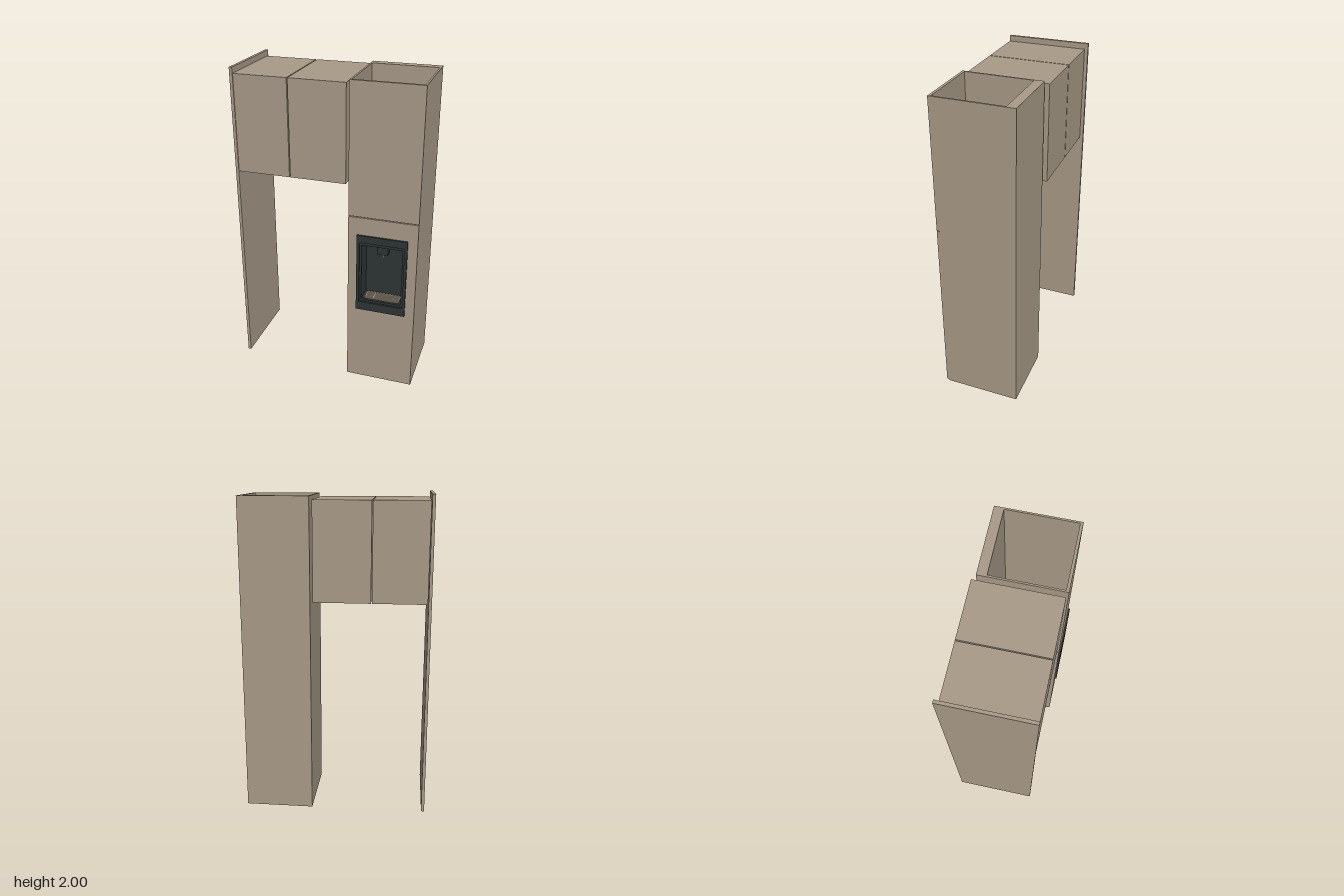
import * as THREE from 'three';

export function createModel() {
  const root = new THREE.Group();
  const mat = (name, color) => {
    const m = new THREE.MeshStandardMaterial({ color });
    m.name = name;
    return m;
  };
  const wood = mat('taupe panel', 0xa99b88);
  const dark = mat('dark casing', 0x2d3634);
  const metal = mat('beige metal', 0xb5a58c);

  // Box given by its limits on each axis
  const box = (parent, name, m, x0, x1, y0, y1, z0, z1) => {
    const mesh = new THREE.Mesh(new THREE.BoxGeometry(x1 - x0, y1 - y0, z1 - z0), m);
    mesh.position.set((x0 + x1) / 2, (y0 + y1) / 2, (z0 + z1) / 2);
    mesh.name = name;
    parent.add(mesh);
    return mesh;
  };
  // Upright plate with a rectangular hole; rects are [x0, x1, y0, y1]
  const frame = (parent, name, m, outer, hole, z0, z1) => {
    const trace = (p, [x0, x1, y0, y1]) =>
      p.moveTo(x0, y0).lineTo(x1, y0).lineTo(x1, y1).lineTo(x0, y1).closePath();
    const shape = trace(new THREE.Shape(), outer);
    shape.holes.push(trace(new THREE.Path(), hole));
    const mesh = new THREE.Mesh(
      new THREE.ExtrudeGeometry(shape, { depth: z1 - z0, bevelEnabled: false }), m);
    mesh.position.z = z0;
    mesh.name = name;
    parent.add(mesh);
  };
  const group = (name) => {
    const g = new THREE.Group();
    g.name = name;
    root.add(g);
    return g;
  };

  // End panel and the two wall cabinets
  box(root, 'endPanel', wood, -0.577, -0.558, 0.03, 2, -0.273, 0.25);
  const wall = group('wallCabinets');
  box(wall, 'wallCabinetRight', wood, -0.555, -0.225, 1.365, 1.965, -0.252, 0.25);
  box(wall, 'wallCabinetLeft', wood, -0.219, 0.128, 1.365, 1.965, -0.252, 0.25);

  // Tall cabinet: hollow carcass, open above and below
  const tall = group('tallCabinet');
  box(tall, 'sideRight', wood, 0.148, 0.159, 0, 1.985, -0.23, 0.243);
  box(tall, 'sideLeft', wood, 0.565, 0.576, 0, 1.985, -0.23, 0.243);
  box(tall, 'back', wood, 0.159, 0.565, 0, 1.985, -0.23, -0.173);
  box(tall, 'upperDoor', wood, 0.148, 0.576, 1.17, 1.985, 0.243, 0.26);
  frame(tall, 'lowerDoor', wood, [0.148, 0.576, 0.01, 1.165], [0.225, 0.497, 0.56, 1.03], 0.243, 0.26);

  // Dispenser: front frame, inner rim and recessed niche
  const unit = group('dispenser');
  frame(unit, 'frontFrame', dark, [0.205, 0.517, 0.533, 1.052], [0.222, 0.5, 0.59, 1.005], 0.26, 0.272);
  frame(unit, 'innerRim', dark, [0.222, 0.5, 0.585, 1.01], [0.235, 0.487, 0.605, 0.985], 0.245, 0.262);
  box(unit, 'nicheBack', dark, 0.225, 0.497, 0.56, 1.02, 0.13, 0.145);
  box(unit, 'nicheRight', dark, 0.225, 0.235, 0.56, 1.02, 0.145, 0.25);
  box(unit, 'nicheLeft', dark, 0.487, 0.497, 0.56, 1.02, 0.145, 0.25);
  box(unit, 'nicheTop', dark, 0.235, 0.487, 0.985, 1.02, 0.145, 0.25);
  box(unit, 'nicheFloor', dark, 0.235, 0.487, 0.56, 0.6, 0.145, 0.25);

  // Nozzle block and spout
  box(unit, 'nozzleBlock', dark, 0.325, 0.392, 0.922, 0.97, 0.18, 0.235);
  box(unit, 'nozzleStem', dark, 0.342, 0.375, 0.965, 0.99, 0.185, 0.23);
  const spout = new THREE.Mesh(new THREE.CylinderGeometry(0.008, 0.006, 0.03, 12), metal);
  spout.position.set(0.357, 0.909, 0.21);
  spout.name = 'spout';
  unit.add(spout);

  // Drip grille: long slats tied by cross bars
  for (let i = 0; i < 7; i++) {
    const z = 0.155 + i * 0.0125;
    box(unit, 'grilleSlat', metal, 0.252, 0.47, 0.6, 0.606, z, z + 0.007);
  }
  for (let i = 0; i < 5; i++) {
    const x = 0.252 + i * 0.0528;
    box(unit, 'grilleBar', metal, x, x + 0.007, 0.6, 0.605, 0.155, 0.237);
  }
  return root;
}
